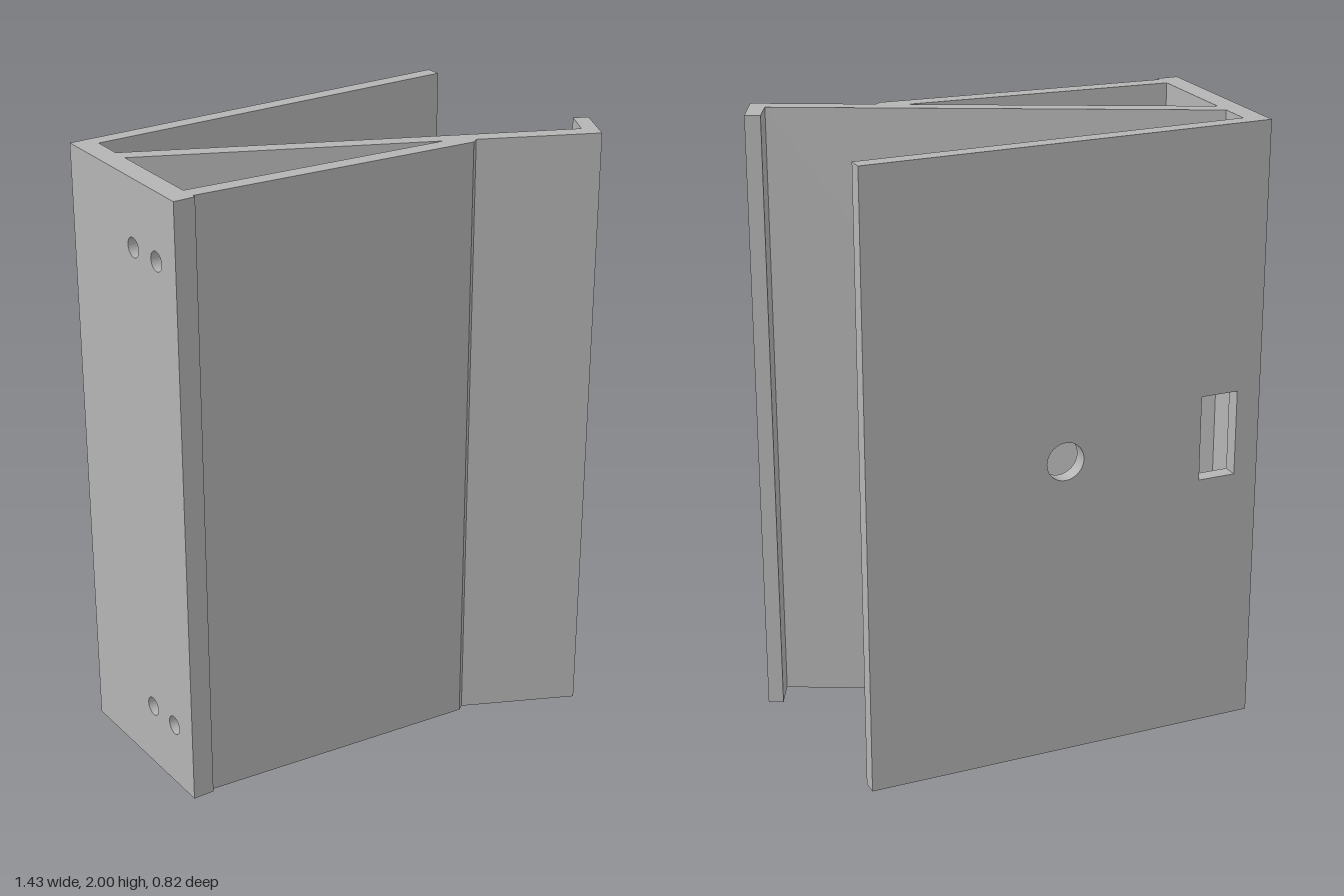
import * as THREE from 'three';

const HEIGHT = 2;

function rectPoints(x0, y0, x1, y1) {
  return [[x0, y0], [x1, y0], [x1, y1], [x0, y1]].map(([x, y]) => new THREE.Vector2(x, y));
}

function circleHole(x, y, r) {
  const hole = new THREE.Path();
  hole.absarc(x, y, r, 0, Math.PI * 2, true);
  return hole;
}

function extrude(shape, depth) {
  return new THREE.ExtrudeGeometry(shape, { depth, bevelEnabled: false, curveSegments: 24 });
}

export function createModel() {
  const group = new THREE.Group();
  const grey = new THREE.MeshStandardMaterial({ color: 0xb4b4b4 });
  grey.name = 'plain grey';

  const add = (name, geometry) => {
    const mesh = new THREE.Mesh(geometry, grey);
    mesh.name = name;
    group.add(mesh);
  };

  // Back plate with a round hole and a rectangular slot
  const back = new THREE.Shape(rectPoints(-0.65, 0, 0.6, HEIGHT));
  back.holes.push(
    circleHole(-0.05, 1, 0.062),
    new THREE.Path(rectPoints(-0.64, 0.86, -0.515, 1.14).reverse())
  );
  add('backPlate', extrude(back, 0.05).translate(0, 0, -0.41));

  // Side wall with two pairs of screw holes, drawn in z and y
  const side = new THREE.Shape(rectPoints(-0.41, 0, 0.2, HEIGHT));
  for (const y of [0.215, 1.785]) {
    for (const z of [-0.044, 0.089]) side.holes.push(circleHole(z, y, 0.031));
  }
  add('sideWall', extrude(side, 0.07).rotateY(-Math.PI / 2).translate(-0.65, 0, 0));

  // Sloping panel with its hooked lip and front brace, drawn in x and z
  const outline = [
    [-0.65, -0.255], [0.625, 0.34], [0.67, 0.245], [0.715, 0.265], [0.65, 0.408],
    [0.3, 0.243], [0.28, 0.258], [-0.65, 0.187], [-0.65, 0.135], [0.21, 0.2], [-0.65, -0.2]
  ];
  const panel = new THREE.Shape(outline.map(([x, z]) => new THREE.Vector2(x, -z)));
  add('slopingPanelAndBrace', extrude(panel, HEIGHT).rotateX(-Math.PI / 2));

  return group;
}
